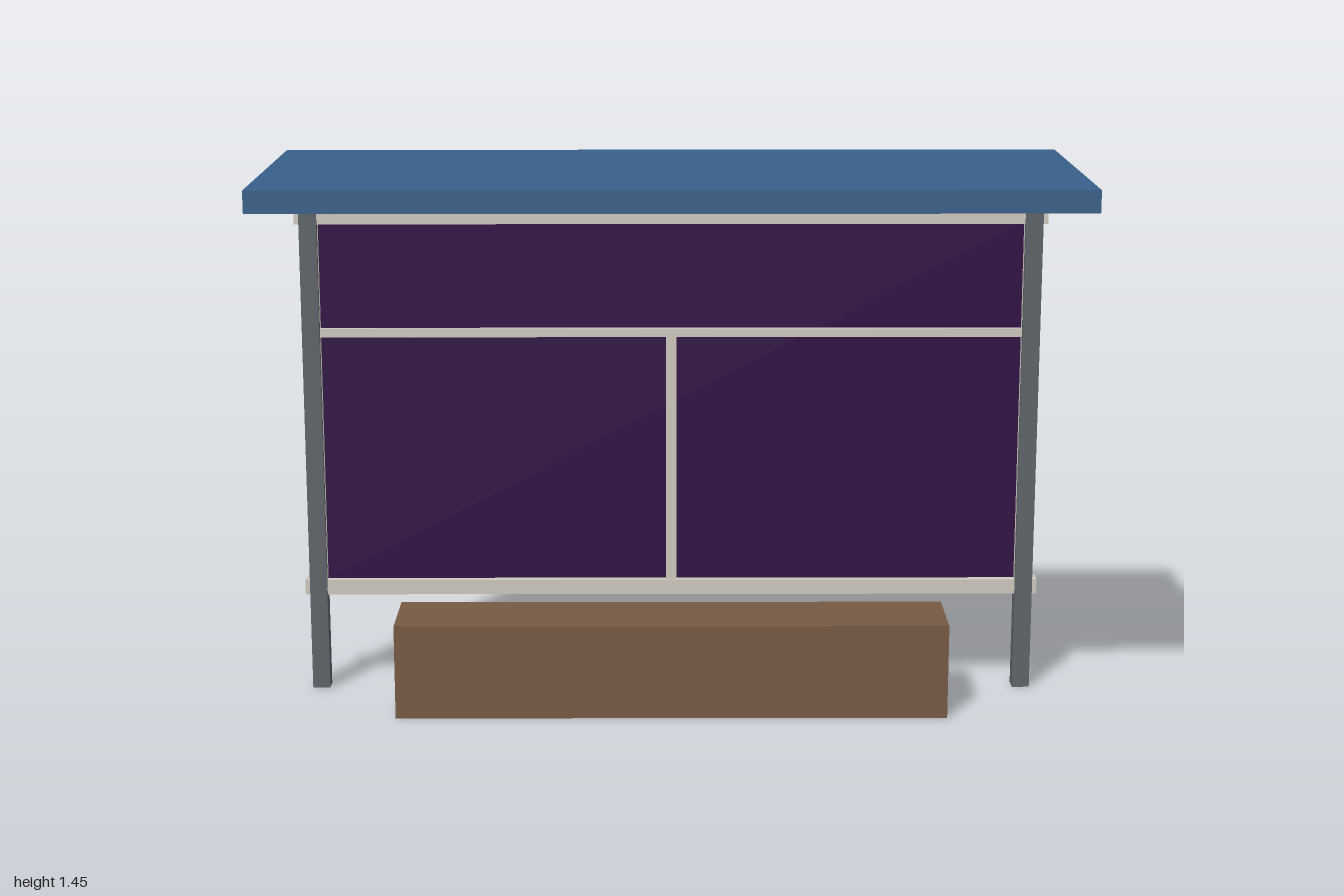
import * as THREE from 'three';

const mat = (name, color) => {
  const m = new THREE.MeshStandardMaterial({ color });
  m.name = name;
  return m;
};

export function createModel() {
  const group = new THREE.Group();
  group.name = 'busShelter';
  const roofBlue = mat('roofBlue', 0x38608a);
  const postGrey = mat('postGrey', 0x5f656b);
  const frameCream = mat('frameCream', 0xcfcabf);
  const panelPurple = mat('panelPurple', 0x300e45);
  const benchBrown = mat('benchBrown', 0x765a44);

  // Box given by its lower and upper limits on each axis
  const box = (name, material, [x0, x1], [y0, y1], [z0, z1]) => {
    const mesh = new THREE.Mesh(new THREE.BoxGeometry(x1 - x0, y1 - y0, z1 - z0), material);
    mesh.position.set((x0 + x1) / 2, (y0 + y1) / 2, (z0 + z1) / 2);
    mesh.name = name;
    group.add(mesh);
  };

  box('roof', roofBlue, [-1, 1], [1.39, 1.445], [-0.388, 0.388]);
  box('bench', benchBrown, [-0.72, 0.72], [0, 0.25], [-0.277, -0.055]);

  // Posts and the frame uprights fixed behind them
  for (const s of [-1, 1]) {
    const side = s > 0 ? 'left' : 'right';
    const span = (a, b) => (s > 0 ? [a, b] : [-b, -a]);
    box(side + 'Post', postGrey, span(0.921, 0.967), [0, 1.39], [-0.355, -0.31]);
    box(side + 'FrameUpright', frameCream, span(0.92, 0.96), [0.3, 1.26], [-0.367, -0.325]);
  }

  // Frame rails
  for (const [name, y] of [['bottomRail', 0.28], ['topRail', 1.28]]) {
    box(name, frameCream, [-0.98, 0.98], [y - 0.02, y + 0.02], [-0.368, -0.318]);
  }

  // Back panel with its dividing bars
  box('backPanel', panelPurple, [-0.925, 0.925], [0.295, 1.265], [-0.348, -0.338]);
  box('crossBar', frameCream, [-0.92, 0.92], [0.96, 0.983], [-0.361, -0.325]);
  box('centreBar', frameCream, [-0.014, 0.014], [0.3, 0.96], [-0.361, -0.325]);

  return group;
}
